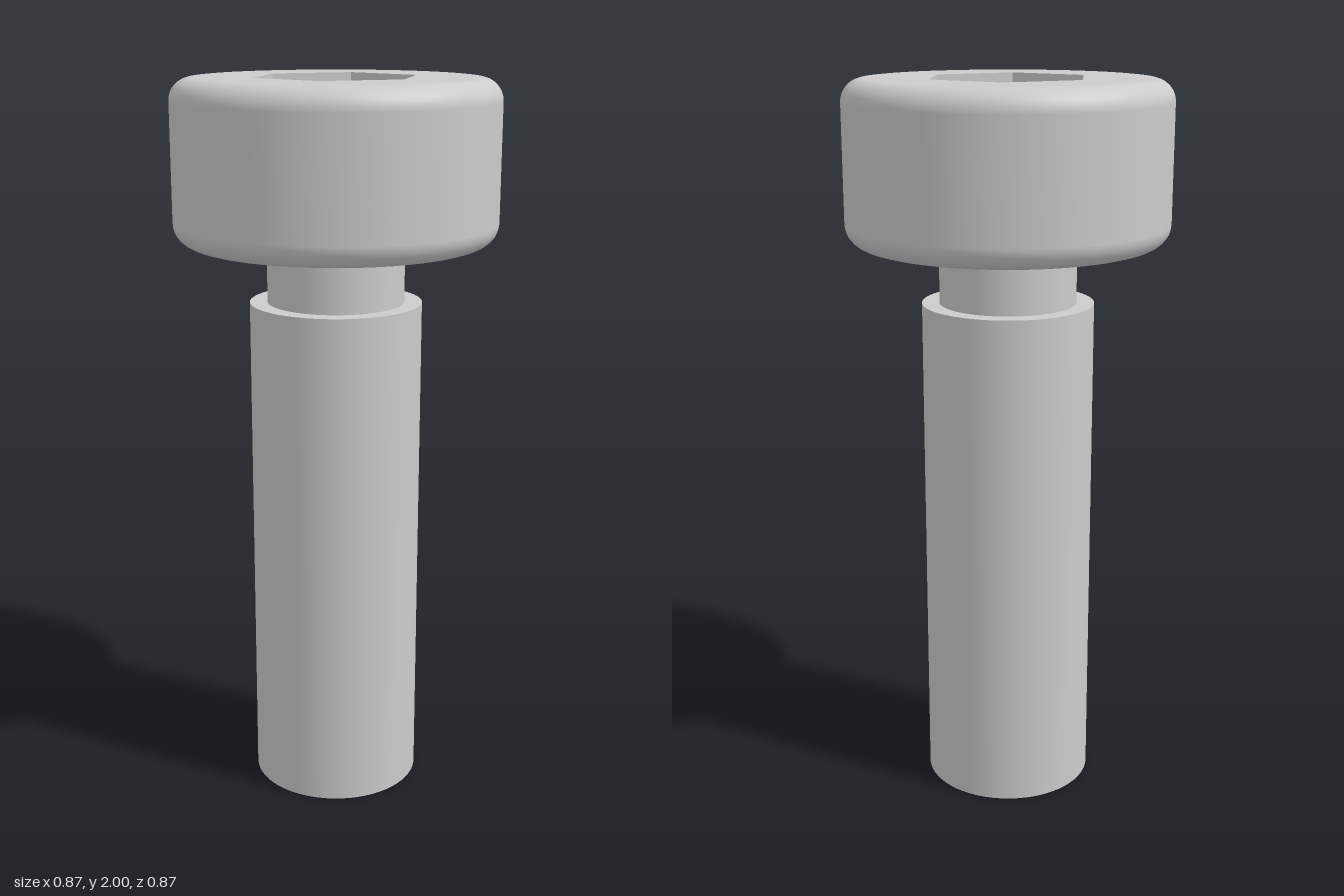
import * as THREE from 'three';

const SIDES = 64;
const SHAFT_R = 0.235, SHAFT_TOP = 1.405;
const NECK_R = 0.187;
const HEAD_R = 0.437, HEAD_BOTTOM = 1.565, TOP = 2, FILLET = 0.06;
const HEX_R = 0.226, HEX_DEPTH = 0.25, FACE_R = 0.32;

// Points of a regular polygon, first corner on +x
function polygon(radius, count) {
  return Array.from({ length: count }, (_, i) => {
    const a = (i / count) * Math.PI * 2;
    return new THREE.Vector2(Math.cos(a) * radius, Math.sin(a) * radius);
  });
}

// Quarter-circle fillet in the lathe profile
function fillet(cy, startAngle, steps = 8) {
  return Array.from({ length: steps + 1 }, (_, i) => {
    const a = startAngle + (i / steps) * Math.PI / 2;
    return new THREE.Vector2(HEAD_R - FILLET + Math.cos(a) * FILLET, cy + Math.sin(a) * FILLET);
  });
}

export function createModel() {
  const group = new THREE.Group();
  const smooth = new THREE.MeshStandardMaterial({ color: 0xcccccc });
  const faceted = new THREE.MeshStandardMaterial({ color: 0xcccccc, flatShading: true });

  function add(name, geometry, material = smooth, y = 0) {
    const mesh = new THREE.Mesh(geometry, material);
    mesh.name = name;
    mesh.position.y = y;
    group.add(mesh);
  }

  // Plain shaft and the narrower neck under the head
  add('shaft', new THREE.CylinderGeometry(SHAFT_R, SHAFT_R, SHAFT_TOP, SIDES), smooth, SHAFT_TOP / 2);
  const neckHeight = HEAD_BOTTOM - SHAFT_TOP;
  add('neck', new THREE.CylinderGeometry(NECK_R, NECK_R, neckHeight, SIDES, 1, true), smooth,
    SHAFT_TOP + neckHeight / 2);

  // Head: underside, rounded rims and side, up to the flat top face
  add('head', new THREE.LatheGeometry([
    new THREE.Vector2(NECK_R, HEAD_BOTTOM),
    ...fillet(HEAD_BOTTOM + FILLET, -Math.PI / 2),
    ...fillet(TOP - FILLET, 0),
    new THREE.Vector2(FACE_R, TOP),
  ], SIDES));

  // Top face with the hexagonal opening
  const face = new THREE.Shape(polygon(FACE_R, SIDES));
  face.holes.push(new THREE.Path(polygon(HEX_R, 6)));
  add('topFace', new THREE.ShapeGeometry(face).rotateX(-Math.PI / 2), smooth, TOP);

  // Hex socket: inward-facing walls and floor
  add('hexSocket', new THREE.LatheGeometry([
    new THREE.Vector2(HEX_R, TOP),
    new THREE.Vector2(HEX_R, TOP - HEX_DEPTH),
    new THREE.Vector2(0, TOP - HEX_DEPTH),
  ], 6, Math.PI / 2), faceted);

  return group;
}
